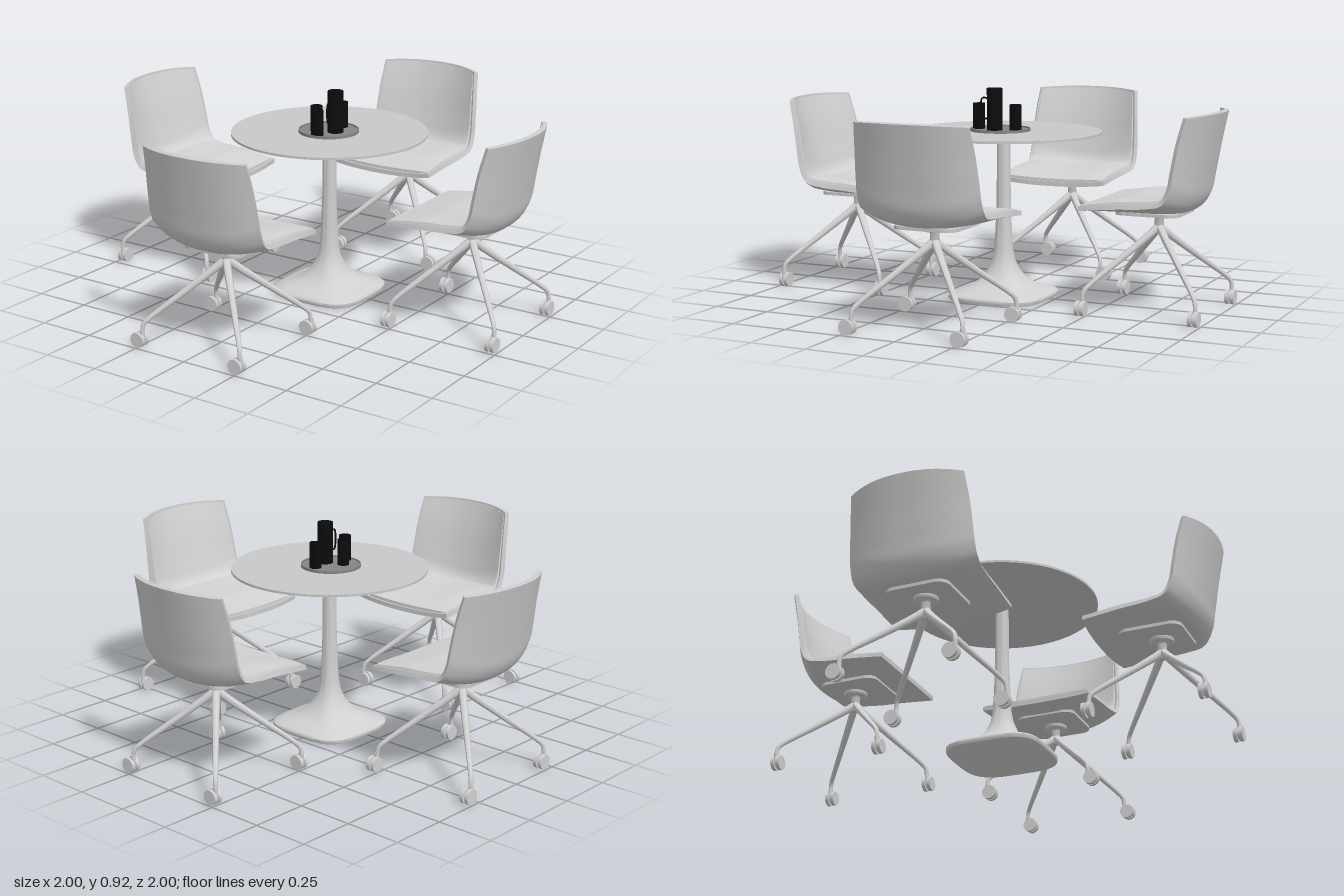
import * as THREE from 'three';
import { toCreasedNormals } from 'three/addons/utils/BufferGeometryUtils.js';

const mat = (name, color) => {
  const m = new THREE.MeshStandardMaterial({ color });
  m.name = name;
  return m;
};
const V = (x, y, z) => new THREE.Vector3(x, y, z);

export function createModel() {
  const shellMat = mat('shell grey', 0xcacaca);
  const padMat = mat('upholstery grey', 0xd2d2d2);
  const metalMat = mat('metal grey', 0xd0d0d0);
  const topMat = mat('table top grey', 0xc8c8c8);
  const trayMat = mat('tray grey', 0x858585);
  const blackMat = mat('black', 0x0c0c0c);

  const add = (parent, name, geo, material, x = 0, y = 0, z = 0) => {
    const m = new THREE.Mesh(geo, material);
    m.name = name;
    m.position.set(x, y, z);
    parent.add(m);
    return m;
  };

  // Seat surface: centre-line and side profiles as [z, y], front lip to back top
  const centre = new THREE.CatmullRomCurve3([[-0.275, 0.438], [-0.1, 0.432], [0.07, 0.434], [0.15, 0.448],
    [0.186, 0.495], [0.205, 0.58], [0.233, 0.72], [0.262, 0.852]].map(([z, y]) => V(0, y, z)));
  // side x is the half width
  const side = new THREE.CatmullRomCurve3([[0.262, -0.262, 0.452], [0.265, -0.1, 0.468], [0.268, 0.03, 0.478], [0.272, 0.1, 0.495],
    [0.271, 0.13, 0.55], [0.268, 0.143, 0.62], [0.26, 0.163, 0.735], [0.248, 0.19, 0.844]].map(([x, z, y]) => V(x, y, z)));
  const surf = (u, v) => {
    const c = centre.getPoint(v), s = side.getPoint(v), k = Math.pow(Math.abs(u), 2.3);
    return V(s.x * u, c.y + (s.y - c.y) * k, c.z + (s.z - c.z) * k);
  };
  const normal = (u, v) => {
    const e = 0.004, v0 = Math.max(0, v - e), v1 = Math.min(1, v + e);
    const dv = surf(u, v1).sub(surf(u, v0)), du = surf(u + e, v).sub(surf(u - e, v));
    return dv.cross(du).normalize();
  };

  // Closed slab between two offsets of the seat surface
  const slab = (uMax, vMin, vMax, low, high) => {
    const nu = 20, nv = 40, R = 2 * (nu + 1), pos = [], idx = [];
    for (let i = 0; i <= nv; i++) {
      const v = vMin + (vMax - vMin) * i / nv;
      for (let j = 0; j < R; j++) {
        const top = j <= nu, k = top ? j : R - 1 - j;
        const u = uMax * (2 * k / nu - 1);
        const p = surf(u, v).addScaledVector(normal(u, v), (top ? high : low)(u / uMax, v));
        pos.push(p.x, p.y, p.z);
      }
    }
    for (let i = 0; i < nv; i++) for (let j = 0; j < R; j++) {
      const a = i * R + j, b = i * R + (j + 1) % R;
      idx.push(a, a + R, b, b, a + R, b + R);
    }
    const o = nv * R;
    for (let j = 0; j < nu; j++) {
      const t0 = j, t1 = j + 1, b0 = R - 1 - j, b1 = R - 2 - j;
      idx.push(b0, t0, b1, b1, t0, t1, o + b0, o + b1, o + t0, o + b1, o + t1, o + t0);
    }
    const g = new THREE.BufferGeometry();
    g.setAttribute('position', new THREE.Float32BufferAttribute(pos, 3));
    g.setIndex(idx);
    return toCreasedNormals(g, 0.7);
  };
  const shellGeo = slab(1, 0, 1, () => -0.01, () => 0.01);
  const padDepth = [0.022, 0.056, 0.058, 0.052, 0.042, 0.033, 0.025, 0.015];
  const padGeo = slab(0.965, 0.008, 0.99, () => 0.009, (u, v) => {
    const f = v * 7, i = Math.min(6, Math.floor(f));
    const t = THREE.MathUtils.lerp(padDepth[i], padDepth[i + 1], f - i);
    return 0.01 + (t - 0.01) * (0.3 + 0.7 * (1 - u ** 4));
  });

  // Tapered leg from the hub out to a caster
  const legPath = new THREE.CatmullRomCurve3([V(0, 0.36, 0), V(0.03, 0.325, 0.03), V(0.13, 0.222, 0.13),
    V(0.225, 0.125, 0.225), V(0.243, 0.1, 0.243), V(0.247, 0.05, 0.247)]);
  const legGeo = new THREE.TubeGeometry(legPath, 28, 0.016, 10);
  const lp = legGeo.attributes.position;
  for (let n = 0; n < lp.count; n++) {
    const t = Math.floor(n / 11) / 28, c = legPath.getPointAt(t);
    const p = V(0, 0, 0).fromBufferAttribute(lp, n).sub(c).multiplyScalar(1.1 - 0.55 * t).add(c);
    lp.setXYZ(n, p.x, p.y, p.z);
  }
  legGeo.computeVertexNormals();

  const wheelGeo = new THREE.CylinderGeometry(0.032, 0.032, 0.016, 24).rotateX(Math.PI / 2);
  const coreGeo = new THREE.CylinderGeometry(0.022, 0.022, 0.014, 16).rotateX(Math.PI / 2);
  const r = 0.05, h = 0.14;
  const plateShape = new THREE.Shape();
  [[1, -1], [1, 1], [-1, 1], [-1, -1]].forEach(([sx, sy], i) =>
    plateShape.absarc(sx * (h - r), sy * (h - r), r, (i - 1) * Math.PI / 2, i * Math.PI / 2, false));
  const plateGeo = new THREE.ExtrudeGeometry(plateShape, { depth: 0.014, bevelEnabled: false, curveSegments: 8 }).rotateX(-Math.PI / 2);
  const hubGeo = toCreasedNormals(new THREE.LatheGeometry([[0, 0.32], [0.014, 0.325], [0.021, 0.345], [0.019, 0.392], [0.022, 0.397],
    [0.05, 0.4], [0.053, 0.404], [0.053, 0.417], [0, 0.417]].map(([x, y]) => new THREE.Vector2(x, y)), 28), 0.7);

  const makeChair = () => {
    const chair = new THREE.Group();
    add(chair, 'seatShell', shellGeo, shellMat);
    add(chair, 'seatPad', padGeo, padMat);
    add(chair, 'underseatPlate', plateGeo, shellMat, 0, 0.415, -0.02);
    add(chair, 'hub', hubGeo, metalMat);
    for (let i = 0; i < 4; i++) {
      add(chair, 'chairLeg', legGeo, metalMat).rotation.y = i * Math.PI / 2;
      const caster = new THREE.Group();
      caster.name = 'caster';
      caster.position.set(i % 2 ? 0.247 : -0.247, 0.032, i < 2 ? 0.247 : -0.247);
      for (const s of [-1, 1]) add(caster, 'wheel', wheelGeo, metalMat, -0.016, 0, s * 0.012);
      add(caster, 'wheelCore', coreGeo, metalMat, -0.016, 0, 0);
      add(caster, 'casterStem', new THREE.CylinderGeometry(0.01, 0.01, 0.045, 12), metalMat, 0, 0.02, 0);
      chair.add(caster);
    }
    return chair;
  };

  const model = new THREE.Group();
  model.name = 'diningSet';
  [['frontChair', 0, 0.014, 0.727], ['rightChair', 1, 0.727, -0.038],
    ['backChair', 2, 0.002, -0.727], ['leftChair', 3, -0.727, -0.024]].forEach(([name, q, x, z]) => {
    const chair = makeChair();
    chair.name = name;
    chair.position.set(x, 0, z);
    chair.rotation.y = q * Math.PI / 2;
    model.add(chair);
  });

  // Pedestal table: round column flaring into a rounded-square foot
  const table = new THREE.Group();
  table.name = 'table';
  table.position.set(0.025, 0, -0.014);
  model.add(table);
  add(table, 'tableTop', new THREE.CylinderGeometry(0.428, 0.428, 0.01, 96), topMat, 0, 0.727, 0);
  const baseGeo = new THREE.LatheGeometry([[0, 0], [0.212, 0], [0.215, 0.006], [0.215, 0.018], [0.208, 0.025], [0.17, 0.036],
    [0.125, 0.055], [0.095, 0.08], [0.068, 0.12], [0.05, 0.165], [0.042, 0.21], [0.036, 0.3], [0.031, 0.45],
    [0.029, 0.722]].map(([x, y]) => new THREE.Vector2(x, y)), 72);
  const bp = baseGeo.attributes.position;
  for (let n = 0; n < bp.count; n++) {
    const x = bp.getX(n), z = bp.getZ(n), a = Math.atan2(z, x), y = bp.getY(n);
    const e = 2 + 1.6 * (1 - THREE.MathUtils.smoothstep(y, 0.02, 0.15));
    const k = (Math.abs(Math.cos(a)) ** e + Math.abs(Math.sin(a)) ** e) ** (-1 / e);
    bp.setX(n, x * k);
    bp.setZ(n, z * k);
  }
  add(table, 'pedestal', toCreasedNormals(baseGeo, 0.8), metalMat);

  // Tray with a low rim, a jug and three cups
  const vessel = (radius, height, wall) => toCreasedNormals(new THREE.LatheGeometry([[0, 0], [radius, 0], [radius, height],
    [radius - wall, height], [radius - wall, 0.006], [0, 0.006]].map(([x, y]) => new THREE.Vector2(x, y)), 40), 0.7);
  add(model, 'tray', vessel(0.131, 0.012, 0.004), trayMat, 0.03, 0.732, 0);
  add(model, 'jug', new THREE.CylinderGeometry(0.034, 0.034, 0.182, 32), blackMat, 0.071, 0.829, 0.008);
  const handle = new THREE.CatmullRomCurve3([V(0, 0.875, 0.03), V(0, 0.876, 0.058), V(0, 0.866, 0.064),
    V(0, 0.8, 0.064), V(0, 0.788, 0.058), V(0, 0.787, 0.03)]);
  add(model, 'jugHandle', new THREE.TubeGeometry(handle, 24, 0.004, 8), blackMat, 0.071, 0, 0.008);
  [[0.047, -0.08], [-0.008, 0.038], [0.037, 0.099]].forEach(([x, z]) =>
    add(model, 'cup', vessel(0.026, 0.112, 0.003), blackMat, x, 0.738, z));
  return model;
}
